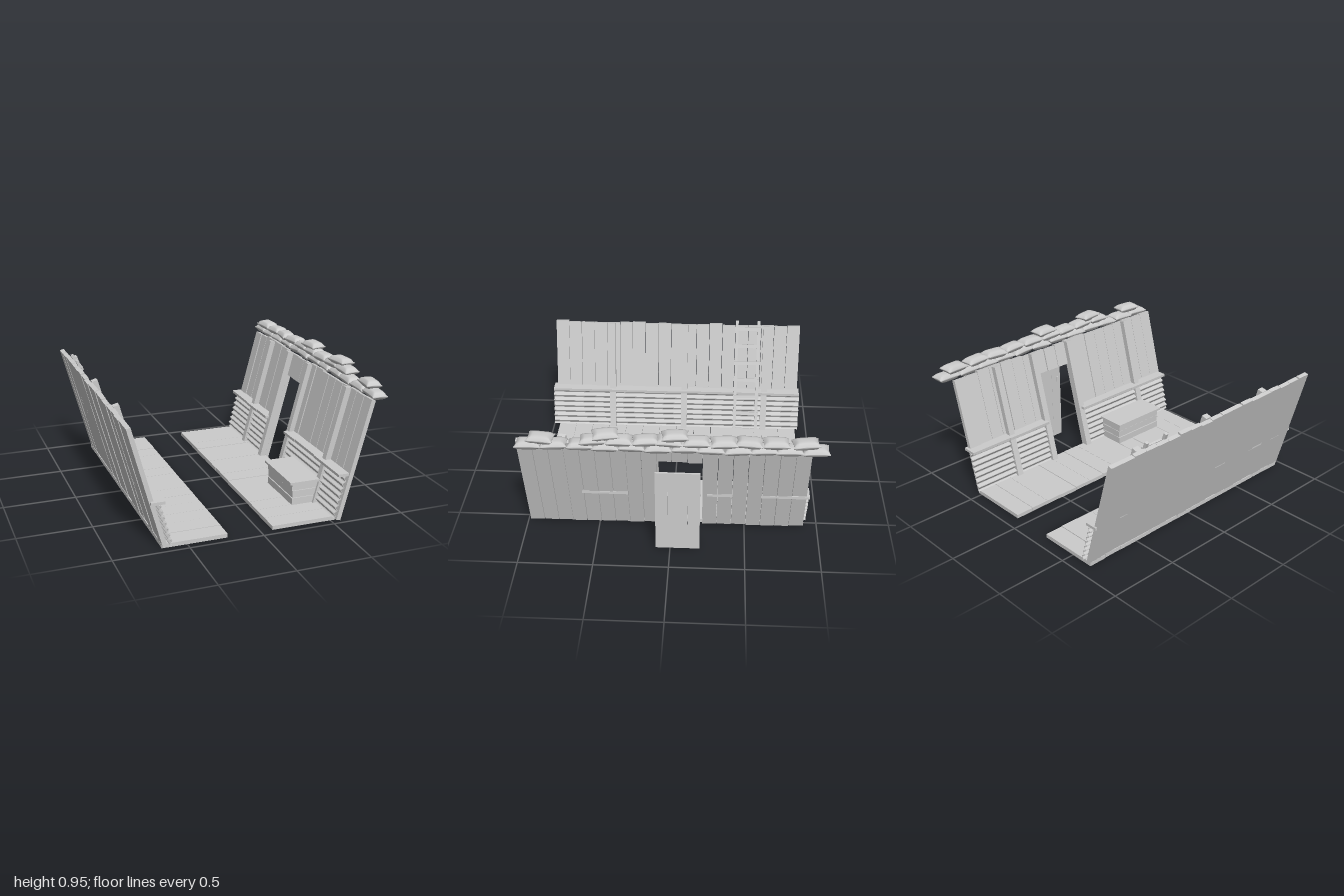
import * as THREE from 'three';
import { mergeVertices } from 'three/addons/utils/BufferGeometryUtils.js';

const LEAN = 0.26; // outward lean of the walls
const mat = new THREE.MeshStandardMaterial({ color: 0xcccccc });

let seed = 7;
const jitter = (a) => {
  seed = (seed * 16807) % 2147483647;
  return (seed / 2147483647 * 2 - 1) * a;
};

// Box given by its limits on each axis
function box(parent, name, x0, x1, y0, y1, z0, z1) {
  const m = new THREE.Mesh(new THREE.BoxGeometry(Math.abs(x1 - x0), y1 - y0, Math.abs(z1 - z0)), mat);
  m.position.set((x0 + x1) / 2, (y0 + y1) / 2, (z0 + z1) / 2);
  m.name = name;
  parent.add(m);
  return m;
}

// Wavy metal sheet, ribs running along z
function corrugated(parent, s, z0, z1) {
  const inner = [], outer = [], n = 56, ribs = 7;
  for (let i = 0; i <= n; i++) {
    const y = 0.03 + 0.29 * i / n;
    const x = -0.019 + 0.009 * Math.sin(i / n * ribs * Math.PI * 2);
    inner.push(new THREE.Vector2(s * (x - 0.003), y));
    outer.push(new THREE.Vector2(s * (x + 0.003), y));
  }
  const shape = new THREE.Shape([...inner, ...outer.reverse()]);
  const m = new THREE.Mesh(new THREE.ExtrudeGeometry(shape, { depth: z1 - z0, bevelEnabled: false }), mat);
  m.position.z = z0;
  m.name = 'corrugatedSheet';
  parent.add(m);
}

// Leaning plank wall; s = +1 leans to +x, -1 to -x
function wall(name, s, baseX, zStart, pitch, posts, sheets, door) {
  const g = new THREE.Group();
  g.name = name;
  g.position.x = baseX;
  g.rotation.z = -s * LEAN;
  for (let i = 0; i < 19; i++) {
    const z = zStart - i * pitch, d = jitter(0.004);
    const y0 = door && i >= 9 && i <= 11 ? 0.68 : 0.02;
    box(g, 'wallPlank', s * d, s * (0.03 + d), y0, 0.852 + jitter(0.008), z - pitch * 0.485, z + pitch * 0.485);
  }
  for (const z of posts) box(g, 'wallPost', -s * 0.04, 0, 0.015, 0.852, z - 0.023, z + 0.023);
  for (const [a, b] of sheets) corrugated(g, s, a, b);
  return g;
}

// Floor of cross planks
function floor(name, x0, x1) {
  const g = new THREE.Group();
  g.name = name;
  const n = 14, w = 1.86 / n;
  for (let i = 0; i < n; i++) {
    const z = -0.91 + i * w, d = jitter(0.002);
    box(g, 'floorPlank', x0, x1, 0.004 + d, 0.031 + d, z + 0.001, z + w - 0.001);
  }
  return g;
}

// Pillow shape with pinched corners
function bagGeometry() {
  let geo = new THREE.BoxGeometry(2, 2, 2, 8, 4, 10);
  geo.deleteAttribute('normal');
  geo.deleteAttribute('uv');
  geo = mergeVertices(geo);
  const p = geo.attributes.position;
  for (let i = 0; i < p.count; i++) {
    const x = p.getX(i), y = p.getY(i), z = p.getZ(i);
    const puff = 0.12 + 0.88 * Math.sqrt((1 - x ** 4) * (1 - z ** 4));
    p.setXYZ(i,
      0.053 * x * (0.9 + 0.1 * z * z),
      0.029 * y * puff,
      0.085 * z * (0.92 + 0.08 * x * x));
  }
  geo.computeVertexNormals();
  return geo;
}

function sandbags() {
  const g = new THREE.Group();
  g.name = 'sandbags';
  const geo = bagGeometry();
  const rows = [
    [0.835, [0.89, 0.73, 0.56, 0.4, 0.235, 0.07, -0.1, -0.26, -0.43, -0.59, -0.75, -0.915]],
    [0.882, [0.81, 0.48, 0.315, 0.15, 0, -0.17, -0.34, -0.5, -0.665, -0.85]],
    [0.922, [0.4, -0.035]],
  ];
  for (const [y, list] of rows) for (const z of list) {
    const m = new THREE.Mesh(geo, mat);
    m.name = 'sandbag';
    m.position.set(0.81 + jitter(0.006), y, z);
    m.rotation.set(jitter(0.06), jitter(y > 0.85 ? 0.18 : 0.06), jitter(0.05));
    g.add(m);
  }
  return g;
}

// Ladder resting against the wall on the -x side
function ladder() {
  const g = new THREE.Group();
  g.name = 'ladder';
  const dx = 0.3, dy = 0.83, len = Math.hypot(dx, dy);
  g.position.set(-0.552, 0.03, -0.515);
  g.rotation.z = Math.atan2(dx, dy);
  for (const z of [-0.083, 0.083]) box(g, 'ladderRail', -0.01, 0.01, 0, len, z - 0.011, z + 0.011);
  for (let i = 0; i < 7; i++) {
    const rung = box(g, 'ladderRung', 0.004, 0.018, 0.015 + i * 0.132, 0.04 + i * 0.132, -0.098, 0.098);
    rung.rotation.x = jitter(0.05);
  }
  return g;
}

// Bench box with side boards and an overhanging lid
function bench() {
  const g = new THREE.Group();
  g.name = 'benchBox';
  box(g, 'benchCore', 0.342, 0.515, 0.031, 0.185, 0.295, 0.685);
  for (const y of [0.031, 0.084, 0.137]) {
    const d = jitter(0.003);
    box(g, 'benchBoard', 0.334 + d, 0.52, y, y + 0.049, 0.285, 0.695);
  }
  box(g, 'benchLid', 0.313, 0.53, 0.184, 0.2, 0.27, 0.71);
  return g;
}

export function createModel() {
  const model = new THREE.Group();
  model.name = 'trench';

  model.add(floor('rightFloor', -0.67, -0.23), floor('leftFloor', 0.08, 0.53));
  model.add(wall('rightWall', -1, -0.627, 0.912, 0.0987, [-0.655, -0.035, 0.523],
    [[-0.93, -0.03], [-0.03, 0.99]], false));
  model.add(wall('leftWall', 1, 0.515, 0.935, 0.0995, [-0.562, -0.232, 0.105, 0.69],
    [[-0.925, -0.23], [0.1, 0.98]], true));

  // Ledges above the metal sheets; some boards reach through the wall
  const ledges = [
    [-0.742, -0.652, -0.925, -0.655], [-0.738, -0.655, -0.655, -0.035],
    [-0.74, -0.65, -0.035, 0.523], [-0.742, -0.652, 0.523, 0.985],
    [0.535, 0.64, -0.925, -0.6], [0.53, 0.605, -0.6, -0.41], [0.535, 0.639, -0.41, -0.24],
    [0.53, 0.605, 0.1, 0.29], [0.535, 0.639, 0.29, 0.6], [0.53, 0.605, 0.6, 0.975],
  ];
  for (const [x0, x1, z0, z1] of ledges) box(model, 'ledgeBoard', x0, x1, 0.316, 0.335, z0, z1);

  // Door standing outside the opening
  const door = new THREE.Group();
  door.name = 'door';
  for (const [z0, z1] of [[-0.198, -0.119], [-0.118, 0.015], [0.016, 0.096]])
    box(door, 'doorPlank', 0.804, 0.818, 0.013, 0.632, z0, z1);
  box(door, 'doorHandle', 0.794, 0.805, 0.475, 0.515, 0.06, 0.075);
  model.add(door);

  model.add(ladder(), bench(), sandbags());
  return model;
}
